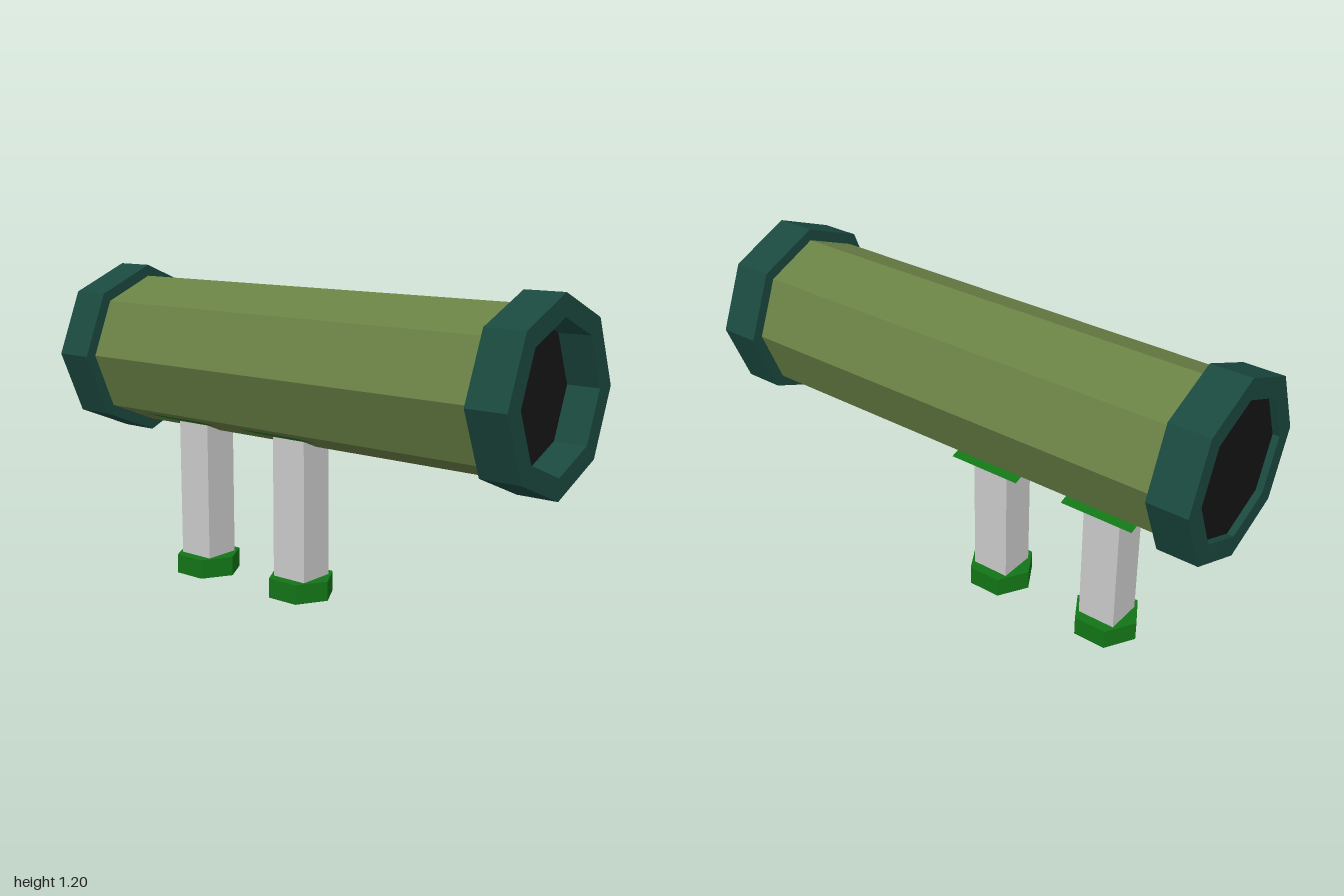
import * as THREE from 'three';

const AXIS_Y = 0.867; // height of the barrel axis

const flat = (color, extra = {}) =>
  new THREE.MeshStandardMaterial({ color, flatShading: true, ...extra });

export function createModel() {
  const model = new THREE.Group();
  const olive = flat(0x6a8145);
  const teal = flat(0x1a493f);
  const black = flat(0x151515);
  const green = flat(0x137517);
  const greenThin = flat(0x137517, { side: THREE.DoubleSide });
  const grey = flat(0xcccccc);

  const add = (name, geometry, material, x, y, z = 0, parent = model) => {
    const mesh = new THREE.Mesh(geometry, material);
    mesh.name = name;
    mesh.position.set(x, y, z);
    parent.add(mesh);
    return mesh;
  };

  // Eight-sided barrel lying along x
  const barrel = new THREE.CylinderGeometry(0.289, 0.289, 1.72, 8).rotateZ(-Math.PI / 2);
  add('barrel', barrel, olive, 0, AXIS_Y);

  // Collars with a hollow mouth; the +x bore is deeper than the -x one
  const outline = [[0.255, -0.075], [0.332, -0.075], [0.332, 0.075], [0.255, 0.075], [0.255, -0.075]]
    .map(([r, h]) => new THREE.Vector2(r, h));
  const collar = new THREE.LatheGeometry(outline, 8).rotateZ(-Math.PI / 2);
  for (const [side, name, depth] of [[1, 'left', 0.12], [-1, 'right', 0.025]]) {
    add(name + 'Collar', collar, teal, side * 0.925, AXIS_Y);
    const disc = new THREE.CircleGeometry(0.255, 8).rotateY(side * Math.PI / 2);
    add(name + 'Bore', disc, black, side * (1 - depth), AXIS_Y);
  }

  // Two grips: square post, hexagonal foot and a thin tilted plate under the barrel
  const post = new THREE.BoxGeometry(0.147, 0.6, 0.144);
  const foot = new THREE.CylinderGeometry(0.128, 0.128, 0.075, 6).rotateY(Math.PI / 6);
  const plate = new THREE.PlaneGeometry(0.288, 0.315).rotateX(-Math.PI / 2 - 0.32);
  for (const [name, x] of [['rightGrip', -0.542], ['middleGrip', -0.061]]) {
    const grip = new THREE.Group();
    grip.name = name;
    grip.position.x = x;
    add('post', post, grey, 0, 0.35, 0, grip);
    add('foot', foot, green, 0, 0.0375, 0, grip);
    add('plate', plate, greenThin, 0, 0.598, 0.038, grip);
    model.add(grip);
  }

  return model;
}
